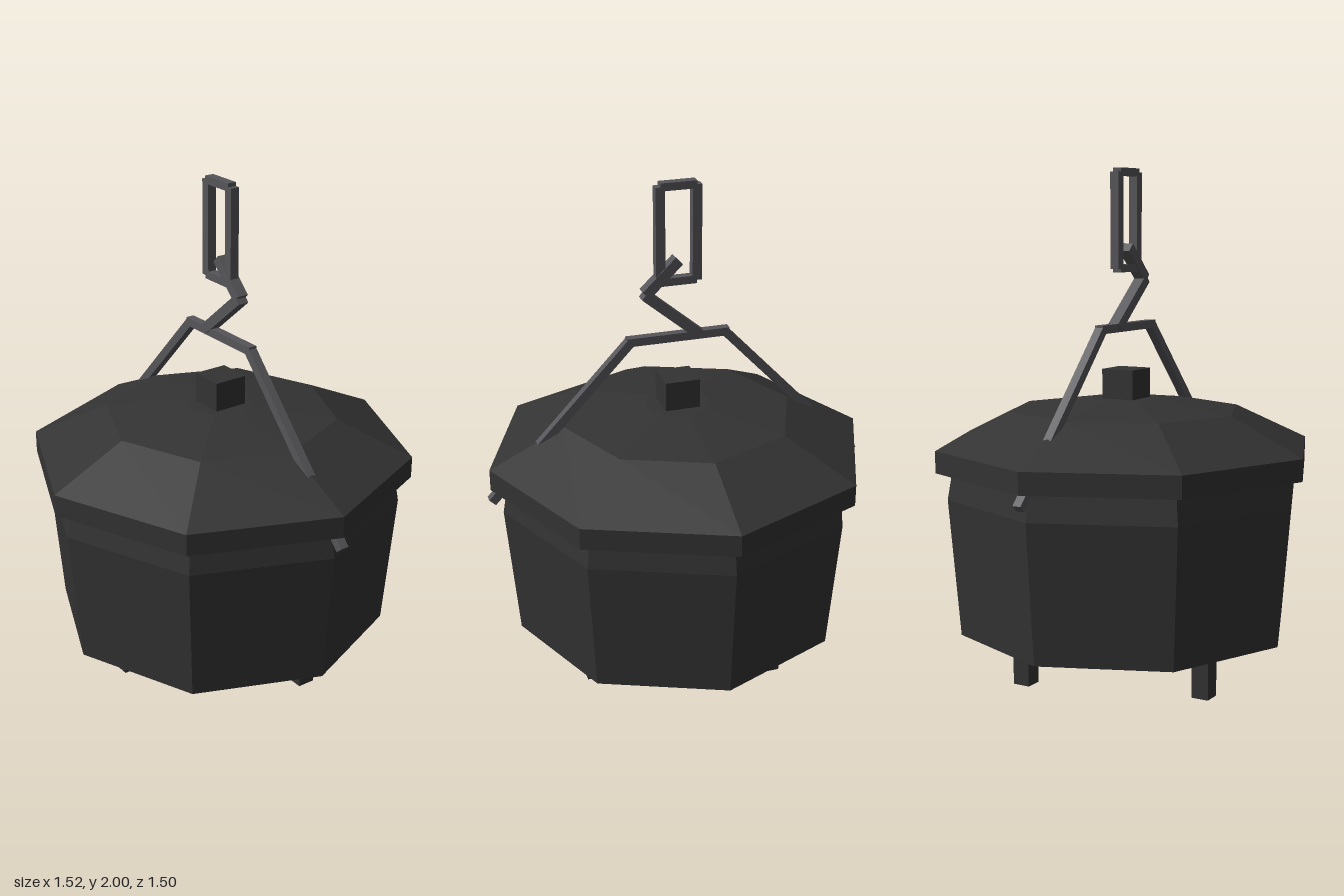
import * as THREE from 'three';

export function createModel() {
  const root = new THREE.Group();
  root.name = 'cookingPot';

  const iron = new THREE.MeshStandardMaterial({ color: 0x333333, flatShading: true });
  iron.name = 'castIron';
  const steel = new THREE.MeshStandardMaterial({ color: 0x56565a, flatShading: true });
  steel.name = 'handleSteel';

  const add = (name, geometry, material, parent = root) => {
    const mesh = new THREE.Mesh(geometry, material);
    mesh.name = name;
    parent.add(mesh);
    return mesh;
  };

  // Eight-sided solid from [radius, height] pairs, listed bottom to top
  const octagon = (profile) =>
    new THREE.LatheGeometry(profile.map(([r, y]) => new THREE.Vector2(r, y)), 8);

  // Square bar between two points in the z = 0 plane
  const bar = (name, [x0, y0], [x1, y1], width, depth, parent) => {
    const dx = x1 - x0, dy = y1 - y0;
    const mesh = add(name, new THREE.BoxGeometry(Math.hypot(dx, dy), width, depth), steel, parent);
    mesh.position.set((x0 + x1) / 2, (y0 + y1) / 2, 0);
    mesh.rotation.z = Math.atan2(dy, dx);
  };

  // Pot and lid
  add('potBody', octagon([[0, 0.165], [0.5, 0.165], [0.66, 0.21], [0.705, 0.745], [0.685, 0.86]]), iron);
  add('lid', octagon([[0, 0.85], [0.75, 0.85], [0.75, 0.935], [0.455, 1.075], [0.13, 1.117], [0, 1.117]]), iron);
  add('lidKnob', new THREE.BoxGeometry(0.136, 0.14, 0.136), iron).position.set(0, 1.162, 0);

  // Three legs, evenly spaced around the base
  for (let i = 0; i < 3; i++) {
    const a = -0.235 + (i * Math.PI * 2) / 3;
    add('leg', new THREE.BoxGeometry(0.07, 0.18, 0.07), iron)
      .position.set(0.41 * Math.sin(a), 0.09, 0.41 * Math.cos(a));
  }

  // Carrying handle
  const handle = new THREE.Group();
  handle.name = 'handle';
  root.add(handle);
  bar('handleTop', [-0.203, 1.394], [0.203, 1.394], 0.032, 0.034, handle);
  for (const s of [-1, 1]) bar('handleArm', [s * 0.187, 1.394], [s * 0.748, 0.802], 0.034, 0.034, handle);

  // Hook rising from the handle
  const hook = new THREE.Group();
  hook.name = 'hook';
  root.add(hook);
  bar('hookLower', [-0.085, 1.395], [0.132, 1.577], 0.04, 0.044, hook);
  bar('hookUpper', [0.128, 1.577], [0.0, 1.7], 0.04, 0.044, hook);

  // Chain link hanging on the hook
  const link = new THREE.Group();
  link.name = 'chainLink';
  root.add(link);
  for (const s of [-1, 1]) bar('linkSide', [s * 0.071, 1.618], [s * 0.071, 1.985], 0.036, 0.036, link);
  for (const y of [1.62, 1.985]) bar('linkEnd', [-0.07, y], [0.07, y], 0.03, 0.036, link);

  return root;
}
